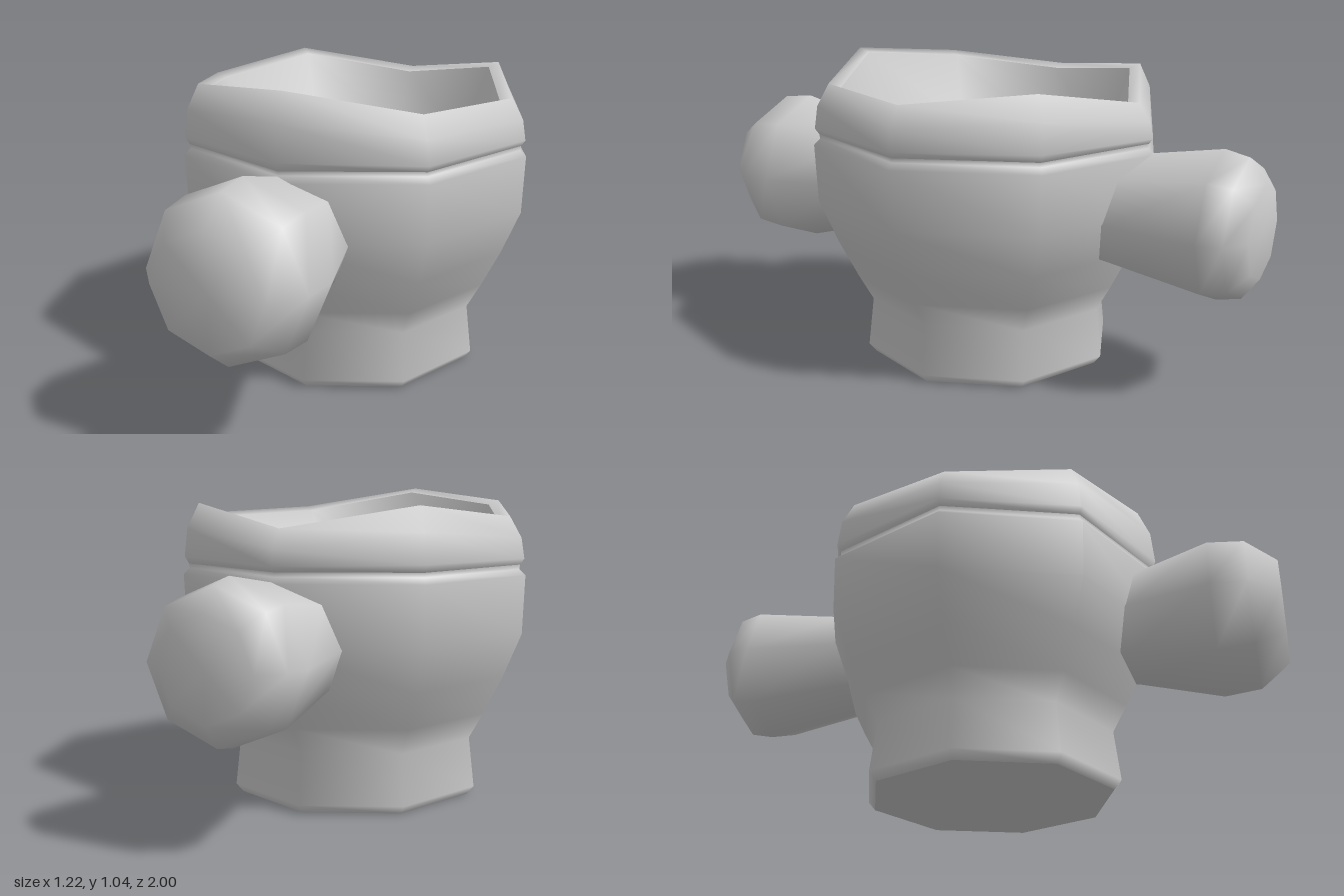
import * as THREE from 'three';
import { mergeVertices } from 'three/addons/utils/BufferGeometryUtils.js';

const SIDES = 8;
const material = new THREE.MeshStandardMaterial({ color: 0xcccccc });

// Crest height of the uneven rim at each corner, starting at the front and going by +x
const CREST = [1.04, 0.97, 0.957, 1.0, 0.93, 1.0, 0.957, 1.0];
const LEVEL = 0.96;

// Eight-sided smooth lathe from [radius, height, sway]; sway is how much a ring follows the crest
function turned(name, profile) {
  const rings = profile.map(([r, y]) => new THREE.Vector2(r, y));
  let geo = new THREE.LatheGeometry(rings, SIDES);
  const pos = geo.attributes.position;
  for (let i = 0; i < pos.count; i++) {
    const sway = profile[i % profile.length][2] || 0;
    const corner = Math.floor(i / profile.length) % SIDES;
    pos.setY(i, pos.getY(i) + sway * (CREST[corner] - LEVEL));
  }
  // weld the seam so shading runs all the way round
  geo.deleteAttribute('uv');
  geo.deleteAttribute('normal');
  geo = mergeVertices(geo, 1e-4);
  geo.computeVertexNormals();
  const mesh = new THREE.Mesh(geo, material);
  mesh.name = name;
  return mesh;
}

export function createModel() {
  const model = new THREE.Group();
  model.name = 'crucible';

  const vessel = new THREE.Group();
  vessel.name = 'vessel';
  vessel.position.z = -0.02;
  model.add(vessel);

  // Flat underside
  vessel.add(turned('underside', [[0, 0], [0.42, 0]]));

  // Foot, flared body and the groove below the rim
  vessel.add(turned('body', [
    [0.42, 0], [0.445, 0.03], [0.425, 0.2], [0.475, 0.29], [0.54, 0.42],
    [0.603, 0.57], [0.611, 0.765], [0.59, 0.785], [0.592, 0.8],
  ]));

  // Rim band with an uneven crest
  vessel.add(turned('rim', [
    [0.592, 0.8], [0.606, 0.82, 0.1], [0.595, 0.89, 0.7],
    [0.555, LEVEL, 1], [0.515, 0.945, 1],
  ]));

  // Hollow inside
  vessel.add(turned('bowl', [
    [0.515, 0.945, 1], [0.41, 0.73], [0.345, 0.56], [0.29, 0.36], [0.23, 0.26], [0, 0.24],
  ]));

  // Bar through the bowl, swelling into a knob at each end
  const bar = turned('crossbarWithKnobs', [
    [0, -1], [0.155, -1], [0.23, -0.945], [0.248, -0.865], [0.195, -0.55], [0.155, -0.3],
    [0.17, 0.25], [0.2, 0.5], [0.278, 0.78], [0.265, 0.9], [0.185, 1], [0, 1],
  ]);
  bar.geometry.rotateX(Math.PI / 2);
  bar.position.y = 0.563;
  model.add(bar);

  return model;
}
